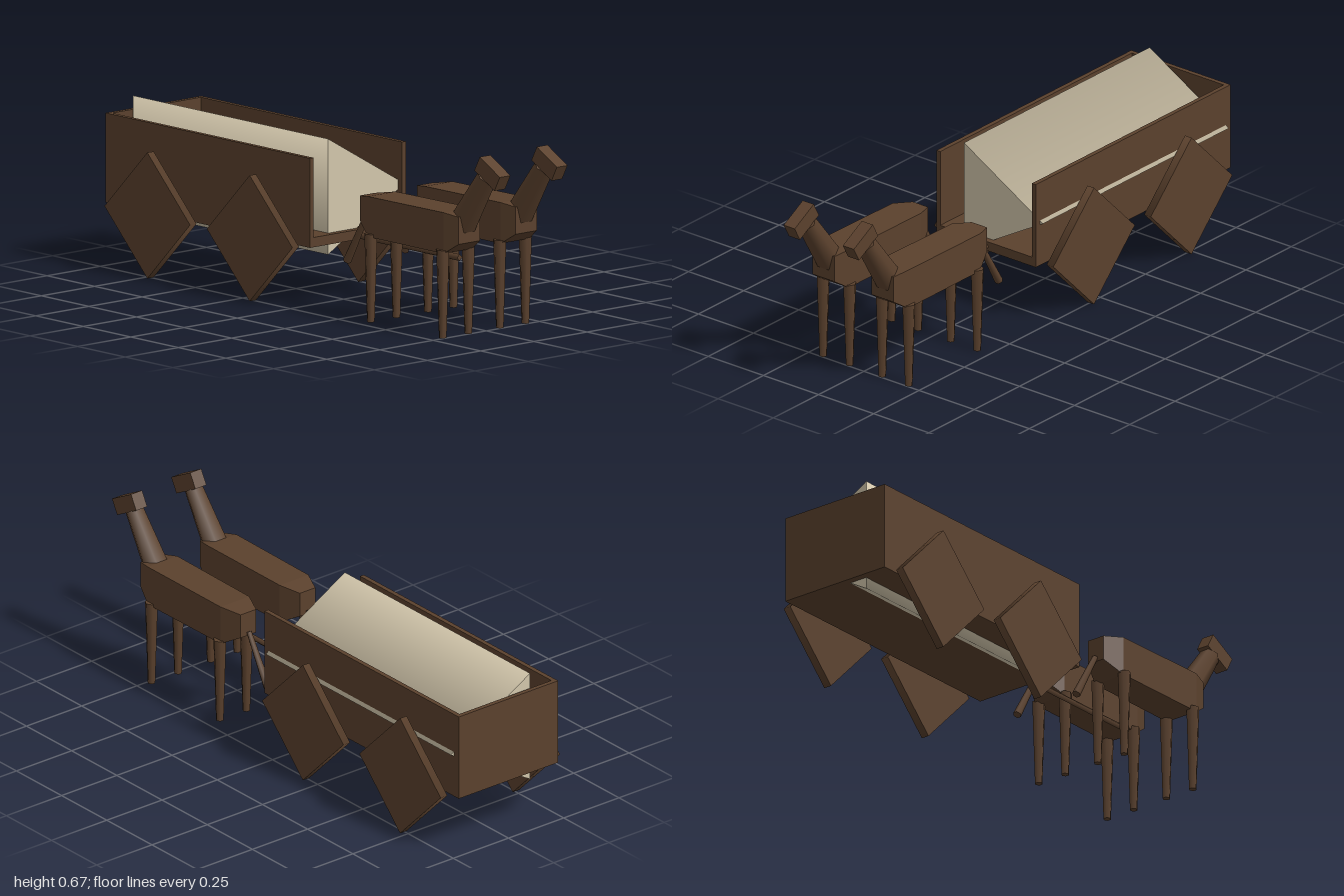
import * as THREE from 'three';

const brown = new THREE.MeshStandardMaterial({ color: 0x5b412d });
brown.name = 'brown wood';
const canvas = new THREE.MeshStandardMaterial({ color: 0xd2c6ab });
canvas.name = 'pale canvas';

function add(parent, name, geometry, x = 0, y = 0, z = 0, material = brown) {
  const mesh = new THREE.Mesh(geometry, material);
  mesh.name = name;
  mesh.position.set(x, y, z);
  parent.add(mesh);
  return mesh;
}

// Six-sided tapered limb between two points, with corners pointing to the sides
function limb(parent, name, from, to, rFrom, rTo) {
  const a = new THREE.Vector3(...from), b = new THREE.Vector3(...to);
  const dir = b.clone().sub(a);
  const geo = new THREE.CylinderGeometry(rTo, rFrom, dir.length(), 6, 1, false, Math.PI / 6);
  const mesh = add(parent, name, geo);
  mesh.position.copy(a).add(b).multiplyScalar(0.5);
  mesh.quaternion.setFromUnitVectors(new THREE.Vector3(0, 1, 0), dir.normalize());
  return mesh;
}

// Box body whose cross-section narrows at both ends
function bodyGeometry() {
  const sections = [ // z, half width, bottom, top
    [0.275, 0.035, 0.345, 0.435],
    [0.35, 0.065, 0.303, 0.447],
    [0.75, 0.067, 0.303, 0.45],
    [0.81, 0.05, 0.343, 0.44],
  ];
  const geo = new THREE.BoxGeometry(1, 1, 1, 1, 1, 3);
  const p = geo.attributes.position;
  for (let i = 0; i < p.count; i++) {
    const [z, w, bottom, top] = sections[Math.round((p.getZ(i) + 0.5) * 3)];
    p.setXYZ(i, Math.sign(p.getX(i)) * w, p.getY(i) > 0 ? top : bottom, z);
  }
  const flat = geo.toNonIndexed();
  flat.computeVertexNormals();
  return flat;
}

function createHorse(name) {
  const horse = new THREE.Group();
  horse.name = name;
  add(horse, 'body', bodyGeometry());
  limb(horse, 'neck', [0, 0.405, 0.775], [0, 0.592, 0.905], 0.05, 0.036);
  const head = add(horse, 'head', new THREE.BoxGeometry(0.05, 0.06, 0.12), 0, 0.61, 0.932);
  head.rotation.x = 0.5;
  limb(horse, 'tail', [0, 0.36, 0.272], [0, 0.18, 0.168], 0.01, 0.015);
  for (const x of [-0.06, 0.06]) {
    limb(horse, 'frontLeg', [x, 0, 0.738], [x, 0.315, 0.738], 0.014, 0.024);
    limb(horse, 'backLeg', [x, 0, 0.36], [x, 0.315, 0.36], 0.014, 0.024);
  }
  return horse;
}

function createWagon() {
  const wagon = new THREE.Group();
  wagon.name = 'wagon';
  // Bed, open at the front and top
  add(wagon, 'floor', new THREE.BoxGeometry(0.45, 0.035, 1.075), 0, 0.2425, -0.4625);
  add(wagon, 'backBoard', new THREE.BoxGeometry(0.45, 0.32, 0.017), 0, 0.385, -0.9915);
  for (const s of [-1, 1]) {
    add(wagon, 'sideBoard', new THREE.BoxGeometry(0.017, 0.32, 1.075), s * 0.2165, 0.385, -0.4625);
  }
  // Three-sided canvas roll
  const roll = new THREE.CylinderGeometry(0.239, 0.239, 1.025, 3, 1, false, Math.PI / 2);
  roll.rotateX(Math.PI / 2);
  add(wagon, 'canvasRoll', roll, 0, 0.39, -0.4605, canvas);
  // Four-sided wheels standing on a corner
  const wheel = new THREE.CylinderGeometry(0.225, 0.225, 0.03, 4);
  wheel.rotateZ(Math.PI / 2);
  for (const x of [-0.255, 0.255]) {
    for (const z of [-0.192, -0.73]) add(wagon, 'wheel', wheel, x, 0.225, z);
  }
  // Draw pole between the horses
  const pole = new THREE.CylinderGeometry(0.012, 0.012, 0.545, 4);
  pole.rotateX(Math.PI / 2);
  add(wagon, 'drawPole', pole, 0, 0.241, 0.3375);
  return wagon;
}

export function createModel() {
  const model = new THREE.Group();
  model.name = 'horse drawn wagon';
  model.add(createWagon());
  for (const [name, x] of [['leftHorse', 0.134], ['rightHorse', -0.134]]) {
    const horse = createHorse(name);
    horse.position.x = x;
    model.add(horse);
  }
  return model;
}
